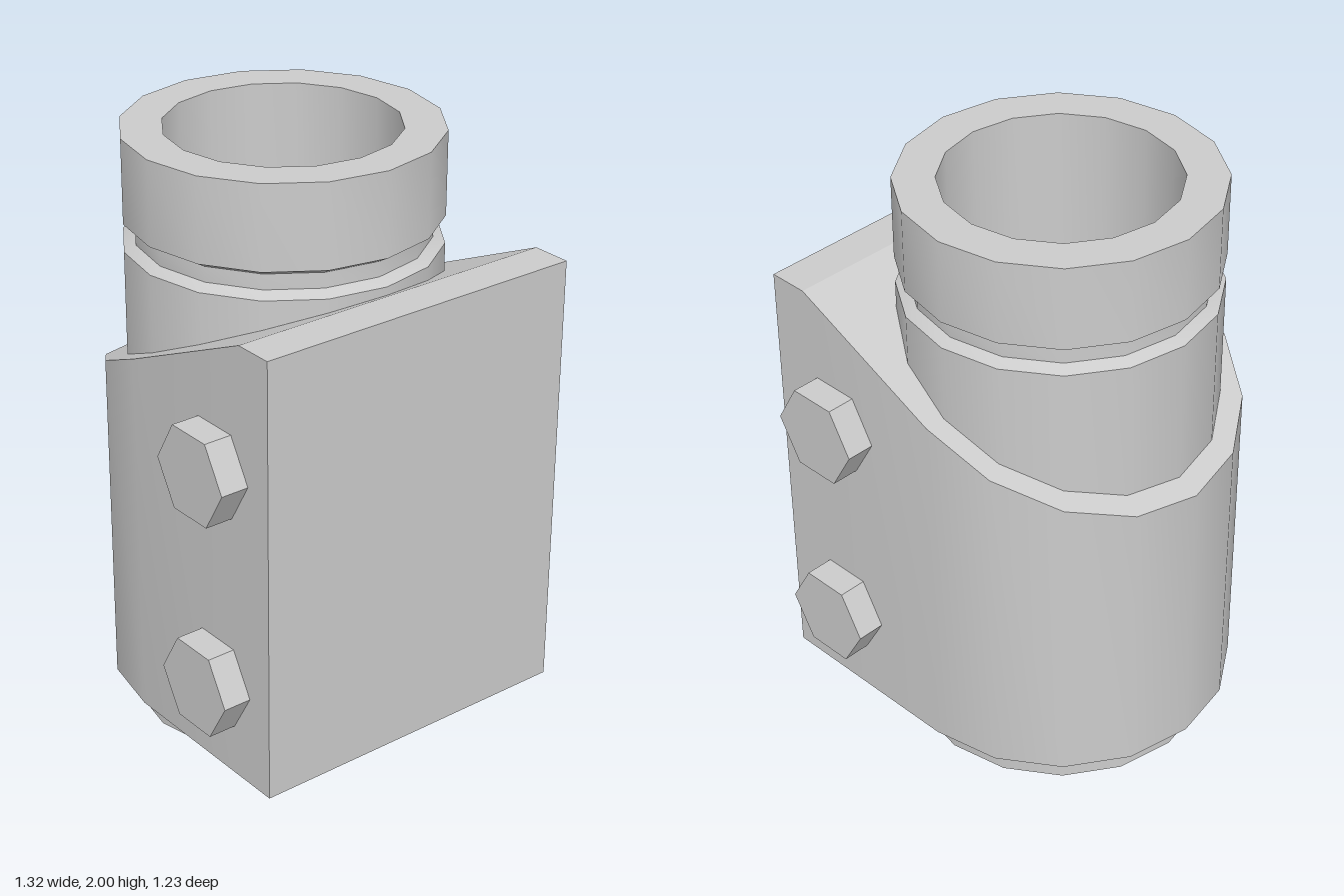
import * as THREE from 'three';
import { toCreasedNormals } from 'three/addons/utils/BufferGeometryUtils.js';

const SIDES = 16;
const CENTER_Z = -0.047; // axis of the tube and of the clamp's round back
const CREASE = 0.41; // just above the 22.5 degree step of the round parts

// Grooved tube with a bore, closed close to its lower end
function tubeGeometry() {
  const profile = [
    [0, 0.012], [0.367, 0.012], [0.367, 0], [0.44, 0], [0.497, 0.052],
    [0.497, 1.638], [0.46, 1.657], [0.46, 1.707], [0.497, 1.728],
    [0.497, 2], [0.367, 2], [0.367, 0.04], [0, 0.04],
  ].map(([r, y]) => new THREE.Vector2(r, y));
  const geometry = new THREE.LatheGeometry(profile, SIDES);
  geometry.translate(0, 0, CENTER_Z);
  return toCreasedNormals(geometry, CREASE);
}

// Clamp body: rectangular sections lofted from the round back to the flat front
function clampGeometry() {
  const radius = 0.567, bottom = 0.16, high = 1.625, low = 1.125;
  const back = CENTER_Z - radius, front = 0.612, breakZ = 0.48;
  const stations = [];
  for (let i = 0; i <= SIDES / 4; i++) {
    const a = (i / SIDES) * Math.PI * 2;
    stations.push([CENTER_Z - radius * Math.cos(a), radius * Math.sin(a)]);
  }
  stations.push([breakZ, radius], [front, radius]);

  const positions = [];
  const index = [];
  stations.forEach(([z, w], s) => {
    const t = Math.min(1, (z - back) / (breakZ - back));
    const top = low + (high - low) * t;
    positions.push(-w, bottom, z, w, bottom, z, w, top, z, -w, top, z);
    if (s === 0) return;
    for (let j = 0; j < 4; j++) {
      const k = (j + 1) % 4, p = (s - 1) * 4, q = s * 4;
      index.push(p + j, p + k, q + k, p + j, q + k, q + j);
    }
  });
  const e = (stations.length - 1) * 4;
  index.push(e, e + 1, e + 2, e, e + 2, e + 3);

  const geometry = new THREE.BufferGeometry();
  geometry.setAttribute('position', new THREE.Float32BufferAttribute(positions, 3));
  geometry.setIndex(index);
  return toCreasedNormals(geometry, CREASE);
}

export function createModel() {
  const group = new THREE.Group();
  group.name = 'clampedTube';
  const material = new THREE.MeshStandardMaterial({ color: 0xcccccc });

  const add = (name, geometry) => {
    const mesh = new THREE.Mesh(geometry, material);
    mesh.name = name;
    group.add(mesh);
    return mesh;
  };

  add('tube', tubeGeometry());
  add('clampBody', clampGeometry());

  // Hexagonal bolt heads, two on each side
  const hex = new THREE.CylinderGeometry(0.158, 0.158, 0.1, 6);
  hex.rotateZ(Math.PI / 2);
  const boltGeometry = toCreasedNormals(hex, CREASE);
  for (const [side, x] of [['left', 0.61], ['right', -0.61]]) {
    for (const [level, y] of [['Upper', 1.19], ['Lower', 0.467]]) {
      add(`${side}${level}Bolt`, boltGeometry).position.set(x, y, 0.36);
    }
  }
  return group;
}
